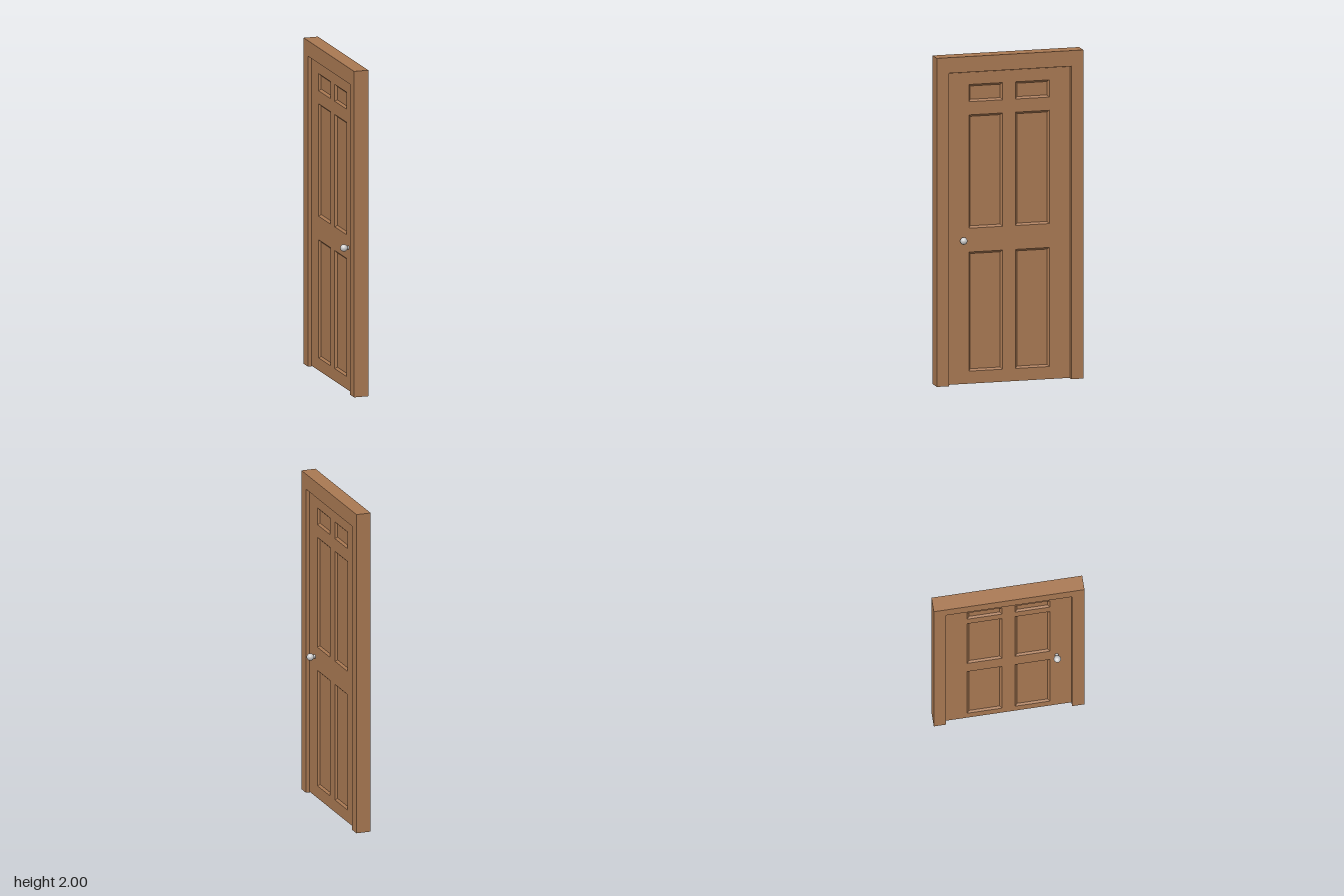
import * as THREE from 'three';

const WOOD = new THREE.MeshStandardMaterial({ color: 0xa87852 });
const METAL = new THREE.MeshStandardMaterial({ color: 0xcccccc });

// Door dimensions: width runs along z, thickness along x
const FRAME_DEPTH = 0.09, FRAME_HALF = 0.455, OPEN_HALF = 0.38, OPEN_TOP = 1.905;
const SLAB_HALF = 0.022, SLAB_TOP = 1.899;
const ROWS = [[1.72, 1.825], [0.95, 1.64], [0.08, 0.805]];
const COLUMNS = [[-0.25, -0.04], [0.04, 0.25]];
const PANELS = ROWS.flatMap(([y0, y1]) => COLUMNS.map(([z0, z1]) => [z0, y0, z1, y1]));

function mesh(name, geometry, material) {
  const m = new THREE.Mesh(geometry, material);
  m.name = name;
  return m;
}

const rect = (a, b, c, d, Type = THREE.Shape) =>
  new Type([[a, b], [c, b], [c, d], [a, d]].map(([x, y]) => new THREE.Vector2(x, y)));

// Extrudes a (z, y) outline along x, centred on x = 0
function extrudeAcross(shape, depth) {
  return new THREE.ExtrudeGeometry(shape, { depth, bevelEnabled: false })
    .translate(0, 0, -depth / 2)
    .rotateY(-Math.PI / 2);
}

// Sunken panel with sloping borders, facing +z before it is turned into place
function trayGeometry([x0, y0, x1, y1], bevel, depth) {
  const loop = (i, z) => [
    [x0 + i, y0 + i, z], [x1 - i, y0 + i, z], [x1 - i, y1 - i, z], [x0 + i, y1 - i, z],
  ];
  const outer = loop(0, 0), inner = loop(bevel, -depth), points = [];
  const quad = (a, b, c, d) => points.push(...a, ...b, ...c, ...a, ...c, ...d);
  for (let i = 0; i < 4; i++) {
    const j = (i + 1) % 4;
    quad(outer[i], outer[j], inner[j], inner[i]);
  }
  quad(...inner);
  const g = new THREE.BufferGeometry();
  g.setAttribute('position', new THREE.Float32BufferAttribute(points, 3));
  g.computeVertexNormals();
  return g;
}

export function createModel() {
  const model = new THREE.Group();
  model.name = 'panelledDoor';

  // Frame: two jambs and a head in one piece
  const outline = new THREE.Shape([
    [-FRAME_HALF, 0], [-OPEN_HALF, 0], [-OPEN_HALF, OPEN_TOP], [OPEN_HALF, OPEN_TOP],
    [OPEN_HALF, 0], [FRAME_HALF, 0], [FRAME_HALF, 2], [-FRAME_HALF, 2],
  ].map(([x, y]) => new THREE.Vector2(x, y)));
  model.add(mesh('doorFrame', extrudeAcross(outline, FRAME_DEPTH), WOOD));

  // Slab: stiles and rails around six panel openings
  const door = new THREE.Group();
  door.name = 'door';
  const slab = rect(-0.379, 0.004, 0.379, SLAB_TOP);
  slab.holes = PANELS.map((p) => rect(...p, THREE.Path));
  door.add(mesh('stilesAndRails', extrudeAcross(slab, SLAB_HALF * 2), WOOD));

  for (const side of [1, -1]) {
    // Sunken panels on both faces
    for (const p of PANELS) {
      const g = trayGeometry(p, 0.012, 0.012)
        .rotateY(side * Math.PI / 2)
        .translate(side * SLAB_HALF, 0, 0);
      door.add(mesh('sunkenPanel', g, WOOD));
    }

    // Knob on a short neck
    const knob = new THREE.Group();
    knob.name = 'doorKnob';
    const neck = mesh('knobNeck', new THREE.CylinderGeometry(0.011, 0.011, 0.03, 24), METAL);
    neck.rotation.z = Math.PI / 2;
    neck.position.x = side * (SLAB_HALF + 0.013);
    const ball = mesh('knobBall', new THREE.SphereGeometry(0.022, 32, 20), METAL);
    ball.position.x = side * 0.052;
    knob.add(neck, ball);
    knob.position.set(0, 0.88, 0.29);
    door.add(knob);
  }

  model.add(door);
  return model;
}
